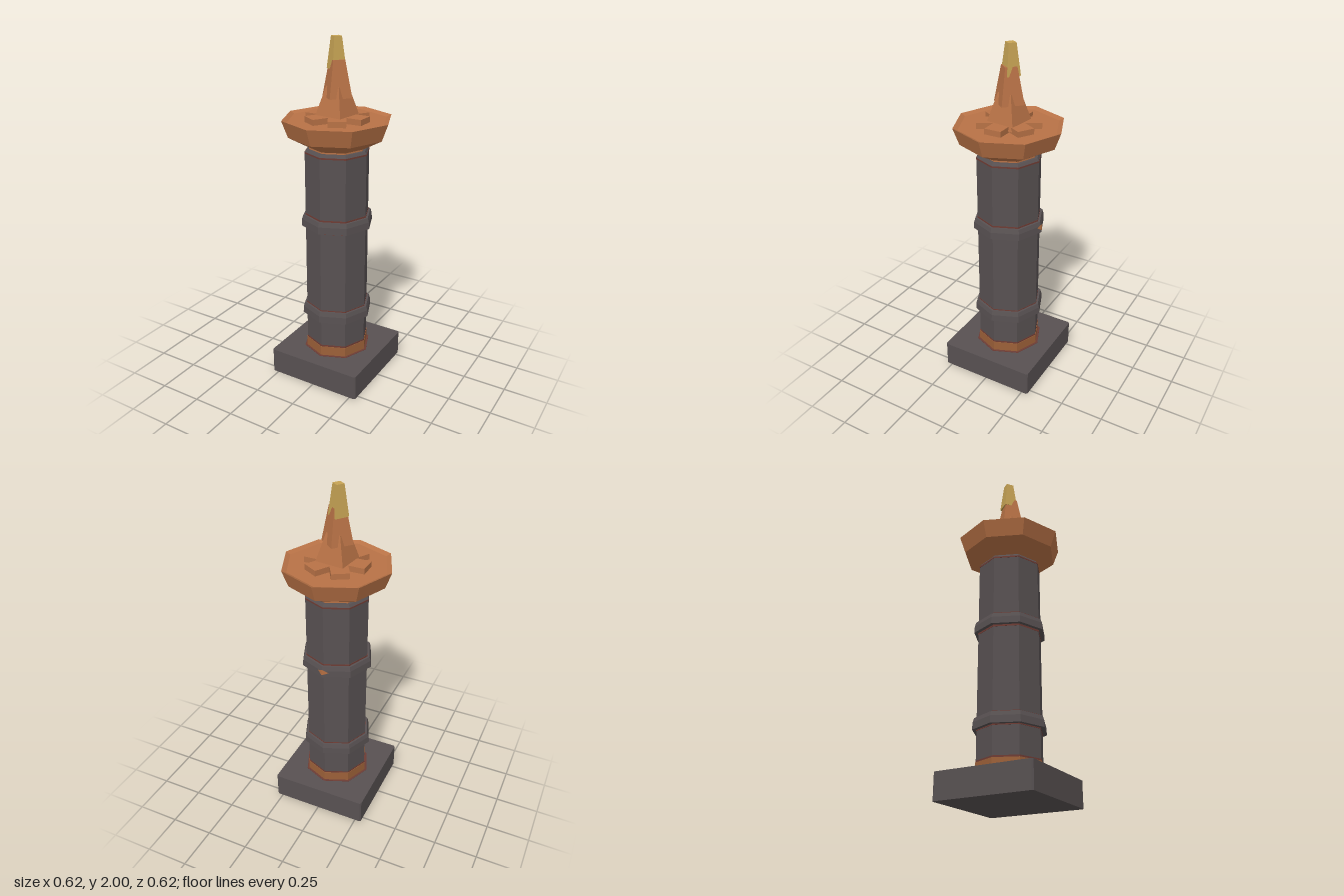
import * as THREE from 'three';

const mat = (name, color, side = THREE.FrontSide) => {
  const m = new THREE.MeshStandardMaterial({ color, flatShading: true, side });
  m.name = name;
  return m;
};

export function createModel() {
  const stone = mat('dark stone', 0x585152);
  const copper = mat('copper', 0xb87246);
  const wornCopper = mat('worn copper', 0x9c6038);
  const gold = mat('gold', 0xc6a354);
  const rust = mat('rust red', 0x6e3c34);
  const chipCopper = mat('chip copper', 0xb06c40, THREE.DoubleSide);

  const model = new THREE.Group();
  model.name = 'pillar';
  const add = (name, geometry, material) => {
    const mesh = new THREE.Mesh(geometry, material);
    mesh.name = name;
    model.add(mesh);
    return mesh;
  };
  // Straight or tapered prism from y0 to y1
  const prism = (name, material, y0, r0, y1, r1, sides = 8, turn = 0, x = 0, z = 0) => {
    const g = new THREE.CylinderGeometry(r1, r0, y1 - y0, sides, 1, false, THREE.MathUtils.degToRad(turn));
    g.translate(x, (y0 + y1) / 2, z);
    return add(name, g, material);
  };
  // Eight-sided turned shape
  const turned = (name, material, points) =>
    add(name, new THREE.LatheGeometry(points.map(p => new THREE.Vector2(...p)), 8), material);

  // Square plinth with a slightly bevelled outline
  const h = 0.287, b = 0.008;
  const outline = new THREE.Shape([
    [-h + b, -h], [h - b, -h], [h, -h + b], [h, h - b],
    [h - b, h], [-h + b, h], [-h, h - b], [-h, -h + b],
  ].map(p => new THREE.Vector2(...p)));
  const plinth = new THREE.ExtrudeGeometry(outline, { depth: 0.15, bevelEnabled: false });
  plinth.rotateX(-Math.PI / 2);
  add('plinth', plinth, stone);
  prism('plinthStain', rust, 0.149, 0.202, 0.152, 0.202);

  // Shaft with copper foot
  turned('shaft', stone, [[0, 0.15], [0.185, 0.15], [0.185, 1.385], [0.175, 1.4], [0, 1.4]]);
  prism('footCollar', wornCopper, 0.15, 0.189, 0.21, 0.189);
  prism('neck', copper, 1.39, 0.16, 1.415, 0.16);

  // Rust lines beside the foot, bands and top
  for (const [y, t] of [[0.21, 0.01], [0.379, 0.008], [0.448, 0.008], [0.94, 0.01], [1.012, 0.012], [1.376, 0.009]]) {
    prism('rustLine', rust, y, 0.1865, y + t, 0.1865);
  }

  // Two raised bands
  for (const y of [0.385, 0.95]) {
    turned('band', stone, [
      [0.18, y], [0.209, y], [0.207, y + 0.04], [0.199, y + 0.065], [0.18, y + 0.065],
    ]);
  }

  // Chipped patch folded over the back corner of the upper band
  const side = s => [0.04 * s * 0.924, 0.04 * 0.383 - 0.212];
  const [lx, lz] = side(-1), [rx, rz] = side(0.75);
  const chip = new THREE.BufferGeometry();
  chip.setAttribute('position', new THREE.Float32BufferAttribute([
    0, 0.965, -0.212, 0, 1.0, -0.209, lx, 0.98, lz,
    0, 0.965, -0.212, rx, 0.985, rz, 0, 1.0, -0.209,
  ], 3));
  chip.computeVertexNormals();
  add('bandChip', chip, chipCopper);

  // Shallow dished bowl
  turned('bowl', copper, [
    [0, 1.4], [0.145, 1.4], [0.275, 1.47], [0.31, 1.565], [0.283, 1.553], [0, 1.55],
  ]);

  // Six flat tabs around the spire
  for (let i = 0; i < 6; i++) {
    const g = new THREE.BoxGeometry(0.125, 0.04, 0.098);
    g.translate(0.1125, 1.564, 0);
    g.rotateY(i * Math.PI / 3);
    add('tab', g, copper);
  }

  // Stacked, twisted four-sided spire
  prism('spireBase', copper, 1.56, 0.128, 1.74, 0.06, 4, 38);
  prism('spireMiddle', copper, 1.68, 0.09, 1.88, 0.047, 4, 4);
  prism('spireTip', gold, 1.83, 0.056, 2.0, 0.031, 4, 10, -0.008, -0.005);

  return model;
}
